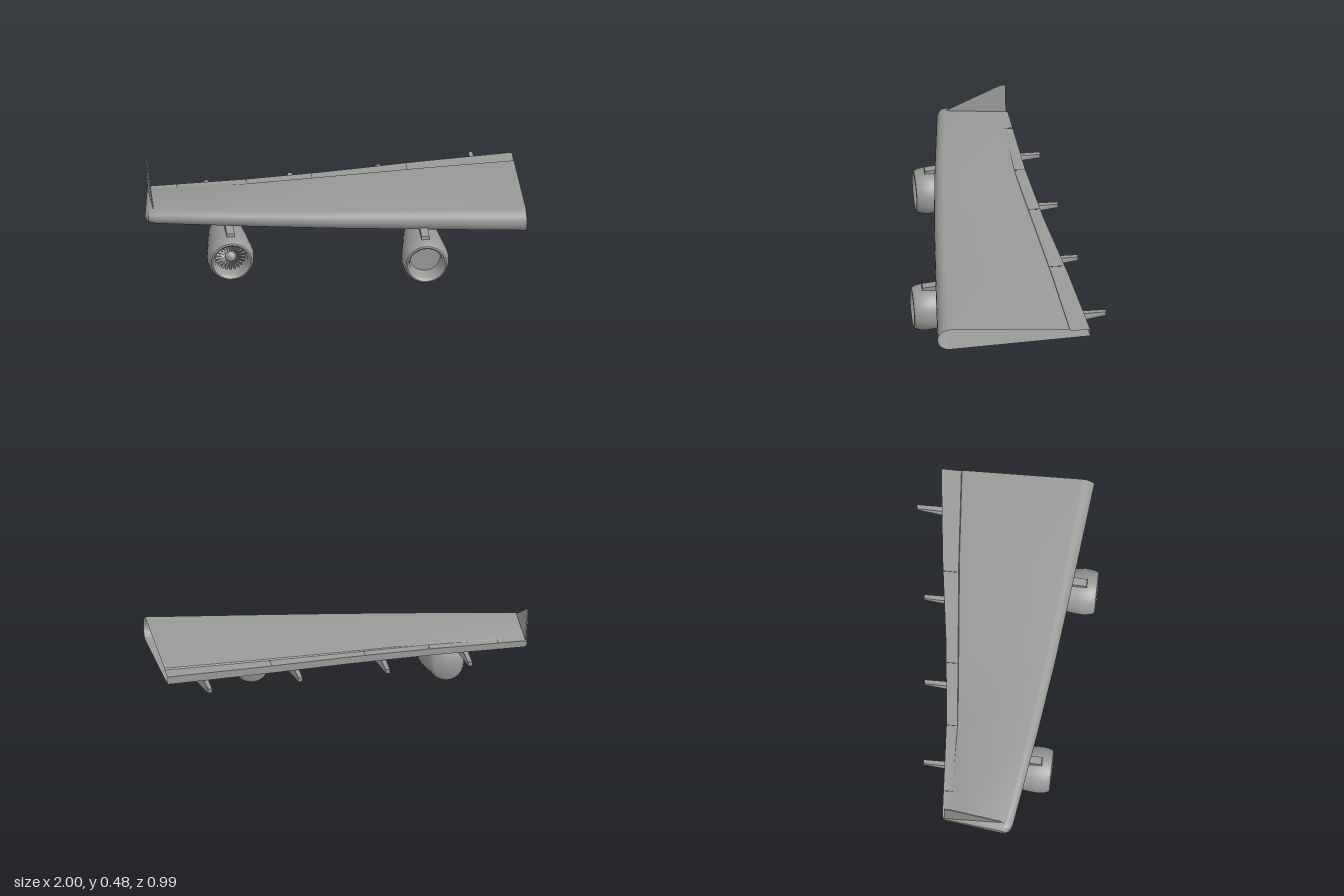
import * as THREE from 'three';
import { toCreasedNormals } from 'three/addons/utils/BufferGeometryUtils.js';

const lerp = THREE.MathUtils.lerp;
const metal = new THREE.MeshStandardMaterial({ color: 0x989a98, side: THREE.DoubleSide });
metal.name = 'wing grey';
const seamMat = new THREE.MeshStandardMaterial({ color: 0x4a4b4a, side: THREE.DoubleSide });
seamMat.name = 'seam grey';

function part(name, geometry, material = metal) {
  const mesh = new THREE.Mesh(geometry, material);
  mesh.name = name;
  return mesh;
}

// Side outline given as [z, y] points, extruded across x and centred on x = 0
function sidePlate(points, width) {
  const shape = new THREE.Shape(points.map(([z, y]) => new THREE.Vector2(z, y)));
  const g = new THREE.ExtrudeGeometry(shape, { depth: width, bevelEnabled: false });
  return g.translate(0, 0, -width / 2).rotateY(-Math.PI / 2);
}

// Wing stations: x at leading edge, x at trailing edge, leading z, trailing z, hinge z, thickness
const stations = [
  [1, 1, 0.422, -0.39, -0.28, 1],
  [0.5, 0.5, 0.375, -0.33, -0.24, 1],
  [0, 0, 0.325, -0.257, -0.19, 1],
  [-0.43, -0.43, 0.273, -0.21, -0.147, 1],
  [-0.95, -0.935, 0.2, -0.177, -0.13, 1],
  [-0.985, -0.95, 0.188, -0.173, -0.128, 0.8],
  [-1, -0.956, 0.165, -0.168, -0.125, 0.4],
];

// One closed section, from the upper trailing edge round the nose to the lower trailing edge
function wingSection([xl, xt, zl, zt, zh, thick]) {
  const t = THREE.MathUtils.clamp((1 - xl) / 1.95, 0, 1);
  const top = lerp(0.371, 0.354, t), bottom = lerp(0.244, 0.28, t);
  const tailTop = lerp(0.312, 0.322, t), tailBottom = lerp(0.27, 0.288, t);
  const nose = lerp(0.065, 0.04, t), zn = zl - nose;
  const hinge = lerp(tailTop, top, (zh - zt) / (zn - zt));
  const pts = [[zt, tailTop], [zh - 0.004, hinge - lerp(0.009, 0.002, t)], [zh, hinge]];
  for (let k = 0; k <= 10; k++) {
    const a = Math.PI * (0.5 - k / 10);
    pts.push([zn + nose * Math.cos(a), (top + bottom) / 2 + (top - bottom) / 2 * Math.sin(a)]);
  }
  pts.push([zt, tailBottom]);
  return pts.map(([z, y]) => {
    const u = (z - zt) / (zl - zt);
    const mid = lerp((tailTop + tailBottom) / 2, (top + bottom) / 2, u);
    return [lerp(xt, xl, u), mid + (y - mid) * thick, z];
  });
}

// Wing skin, open at the root and closed at the tip
function wingGeometry() {
  const loops = stations.map(wingSection);
  const n = loops[0].length, pos = [];
  for (let i = 0; i < loops.length - 1; i++) {
    for (let j = 0; j < n; j++) {
      const k = (j + 1) % n;
      const a = loops[i][j], b = loops[i][k], c = loops[i + 1][j], d = loops[i + 1][k];
      pos.push(...a, ...c, ...b, ...b, ...c, ...d);
    }
  }
  const tip = loops[loops.length - 1];
  const centre = [0, 1, 2].map((q) => tip.reduce((s, p) => s + p[q], 0) / n);
  for (let j = 0; j < n; j++) pos.push(...tip[(j + 1) % n], ...tip[j], ...centre);
  const g = new THREE.BufferGeometry();
  g.setAttribute('position', new THREE.Float32BufferAttribute(pos, 3));
  return toCreasedNormals(g, 0.6);
}

// Narrow joints between the trailing edge flaps
function flapSeam(x) {
  let i = 0;
  while (stations[i + 1][0] > x) i++;
  const a = stations[i], b = stations[i + 1], t = (a[0] - x) / (a[0] - b[0]);
  const s = a.map((v, q) => lerp(v, b[q], t));
  s[0] = s[1] = x;
  const [tail, hinge] = wingSection(s);
  const mesh = part('flapSeam', sidePlate([
    [tail[2], tail[1] - 0.004], [hinge[2], hinge[1] - 0.004],
    [hinge[2], hinge[1] + 0.001], [tail[2], tail[1] + 0.001]], 0.004), seamMat);
  mesh.position.x = x;
  return mesh;
}

// Nacelle with a recessed intake; its front lip is at local z = 0
function engine(name, x, z, withFan) {
  const g = new THREE.Group();
  g.name = name;
  const profile = [
    [0, -0.355], [0.072, -0.355], [0.083, -0.348], [0.092, -0.325], [0.108, -0.21],
    [0.122, -0.1], [0.124, -0.065], [0.119, -0.025], [0.108, -0.003], [0.1, 0],
    [0.092, -0.006], [0.085, -0.025], [0.081, -0.09], [0, -0.09],
  ].map(([r, h]) => new THREE.Vector2(r, h));
  const shell = new THREE.LatheGeometry(profile, 32).rotateX(Math.PI / 2);
  g.add(part('nacelle', toCreasedNormals(shell, 0.7)));
  if (withFan) {
    const fan = new THREE.Group();
    fan.name = 'fan';
    for (let k = 0; k < 22; k++) {
      const blade = new THREE.BoxGeometry(0.012, 0.058, 0.003);
      blade.rotateY(0.7).translate(0, 0.052, -0.07).rotateZ(k / 22 * Math.PI * 2);
      fan.add(part('fanBlade', blade));
    }
    const spinner = new THREE.SphereGeometry(0.03, 20, 12);
    fan.add(part('spinner', spinner.translate(0, 0, -0.07)));
    g.add(fan);
  }
  g.position.set(x, 0.13, z);
  g.rotation.x = 0.02;
  return g;
}

// Strut joining an engine to the underside of the wing
function pylon(x, z) {
  const mesh = part('pylon', sidePlate([
    [z - 0.05, 0.235], [z - 0.055, 0.27], [z - 0.13, 0.278], [z - 0.33, 0.285],
    [z - 0.345, 0.25], [z - 0.31, 0.21], [z - 0.1, 0.23]], 0.042));
  mesh.position.x = x;
  return mesh;
}

// Flap track fairing, tapering towards its tail
function fairing(x, tail, low) {
  const g = sidePlate([
    [tail, 0.271], [tail, 0.249], [tail + 0.25, low], [tail + 0.29, low + 0.003],
    [tail + 0.345, low + 0.026], [tail + 0.345, 0.272]], 0.055);
  const p = g.attributes.position;
  for (let i = 0; i < p.count; i++) {
    const u = (p.getZ(i) - tail) / 0.345;
    p.setX(i, p.getX(i) * (u > 0.9 ? 0.6 : lerp(0.4, 1, Math.min(1, u / 0.72))));
  }
  g.computeVertexNormals();
  const mesh = part('flapTrackFairing', g);
  mesh.position.x = x;
  return mesh;
}

export function createModel() {
  const model = new THREE.Group();
  model.name = 'aircraftWing';
  model.add(part('wing', wingGeometry()));
  for (const x of [-0.8, -0.43, -0.08, 0.43]) model.add(flapSeam(x));

  // Upright fin at the tip, leaning slightly outward
  const fin = part('winglet', sidePlate([
    [0.155, -0.01], [0.155, 0.005], [-0.13, 0.137], [-0.142, 0.14],
    [-0.166, 0.14], [-0.166, -0.025]], 0.006));
  fin.position.set(-0.953, 0.347, 0);
  fin.rotation.z = 0.07;
  model.add(fin);

  for (const [name, x, z, fan] of [
    ['innerEngine', 0.46, 0.495, false], ['outerEngine', -0.56, 0.365, true]]) {
    model.add(engine(name, x, z, fan), pylon(x, z));
  }
  for (const [x, tail, low] of [
    [0.79, -0.497, 0.216], [0.292, -0.405, 0.223], [-0.183, -0.353, 0.229], [-0.63, -0.31, 0.237]]) {
    model.add(fairing(x, tail, low));
  }
  return model;
}
